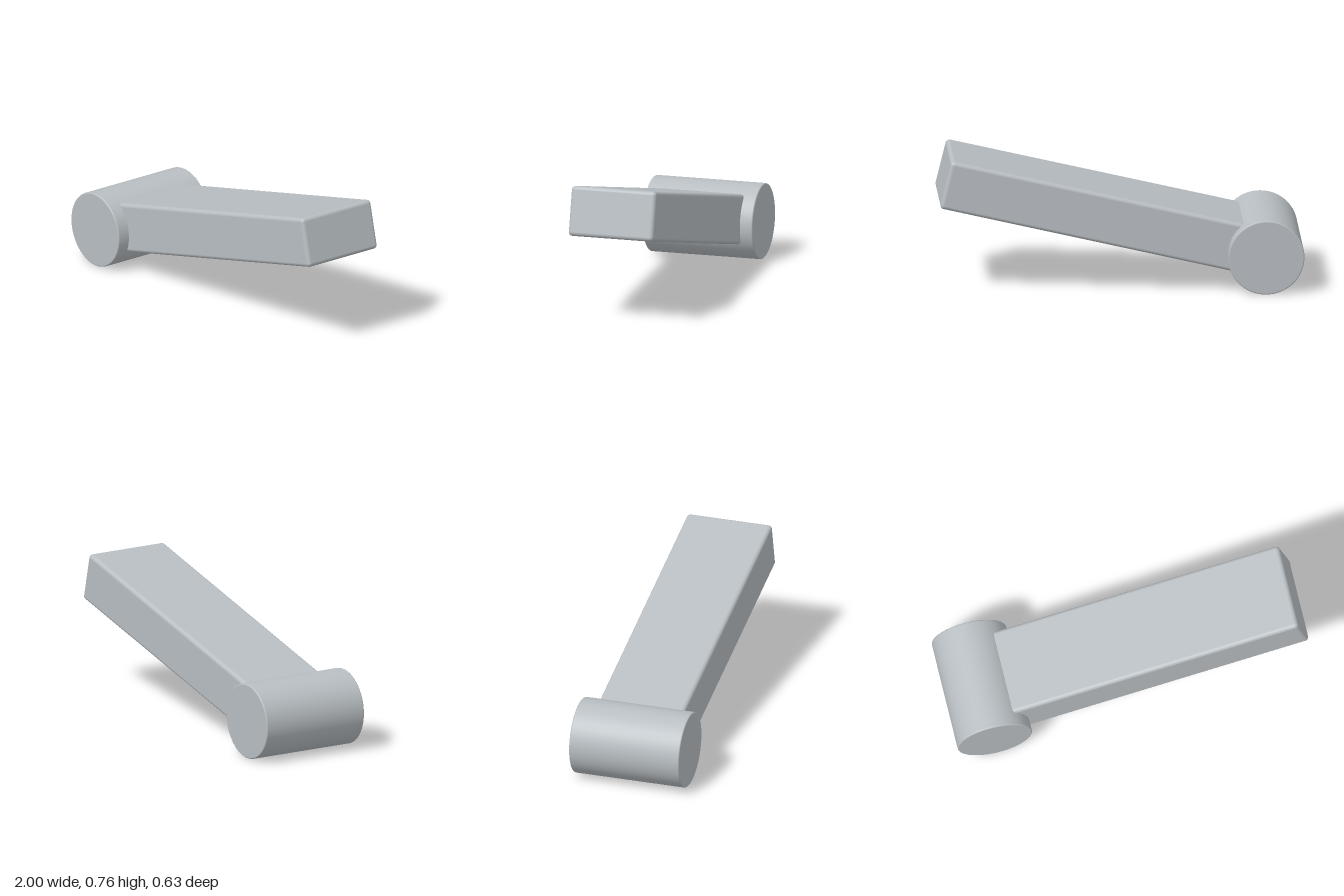
import * as THREE from 'three';
import { RoundedBoxGeometry } from 'three/addons/geometries/RoundedBoxGeometry.js';

const PIVOT_X = -0.79, PIVOT_Y = 0.21;

// Solid cylinder along z with a small rounded rim at both ends
function roundedCylinder(radius, halfLength, bevel) {
  const steps = 5, rim = [];
  for (let i = 0; i <= steps; i++) {
    const a = (i / steps) * Math.PI / 2;
    rim.push(new THREE.Vector2(
      radius - bevel + bevel * Math.sin(a),
      -halfLength + bevel - bevel * Math.cos(a)));
  }
  // Support points beside the rim keep the caps and the wall evenly shaded
  const lower = [
    new THREE.Vector2(0, -halfLength),
    new THREE.Vector2(radius - bevel - 0.001, -halfLength),
    ...rim,
    new THREE.Vector2(radius, -halfLength + bevel + 0.001),
  ];
  const upper = lower.map((p) => new THREE.Vector2(p.x, -p.y)).reverse();
  return new THREE.LatheGeometry([...lower, ...upper], 96).rotateX(Math.PI / 2);
}

export function createModel() {
  const model = new THREE.Group();
  model.name = 'lever';

  const grey = new THREE.MeshStandardMaterial({ color: 0xb8bec2 });
  grey.name = 'light grey';

  // Pivot barrel
  const barrel = new THREE.Mesh(roundedCylinder(0.21, 0.317, 0.007), grey);
  barrel.name = 'pivotBarrel';
  barrel.position.set(PIVOT_X, PIVOT_Y, 0);
  model.add(barrel);

  // Arm rising from the barrel axis
  const length = 1.812;
  const armGeometry = new RoundedBoxGeometry(length, 0.276, 0.49, 5, 0.022);
  armGeometry.translate(length / 2, 0, 0);
  const arm = new THREE.Mesh(armGeometry, grey);
  arm.name = 'arm';
  arm.position.set(PIVOT_X, PIVOT_Y + 0.002, 0);
  arm.rotation.z = THREE.MathUtils.degToRad(13.5);
  model.add(arm);

  return model;
}
